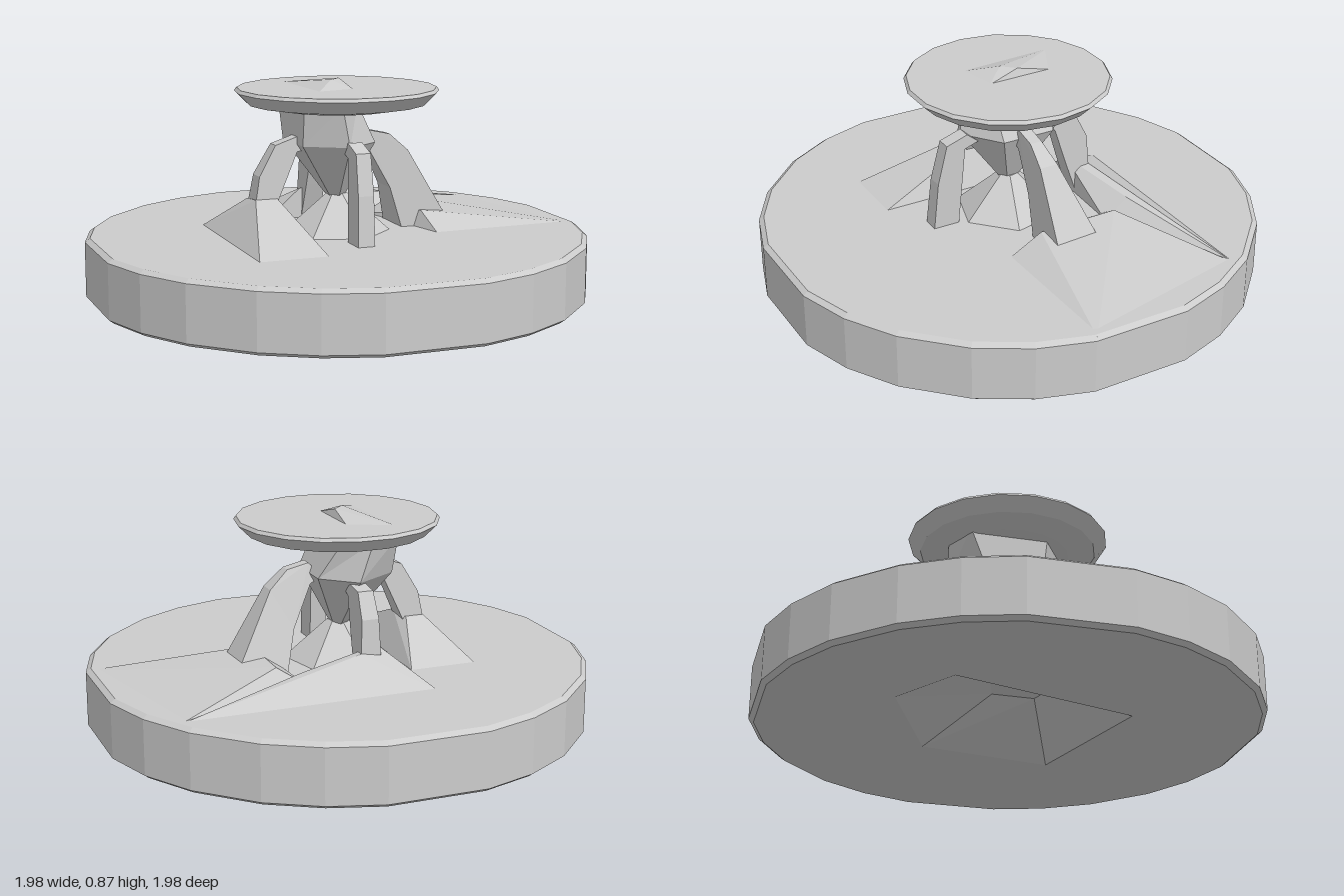
import * as THREE from 'three';
import { ConvexGeometry } from 'three/addons/geometries/ConvexGeometry.js';

const mat = new THREE.MeshStandardMaterial({ color: 0xcccccc, flatShading: true, side: THREE.DoubleSide });

function add(group, name, geometry) {
  const mesh = new THREE.Mesh(geometry, mat);
  mesh.name = name;
  group.add(mesh);
  return mesh;
}

// Turn a plan outline of [x, z] pairs into a ring at height y
const ring = (plan, y, s = 1) => plan.map(([x, z]) => [x * s, y, z * s]);

const circle = (n, r, cx = 0, cz = 0, start = 0) => Array.from({ length: n }, (_, i) => {
  const a = start + (i / n) * Math.PI * 2;
  return [cx + r * Math.cos(a), cz + r * Math.sin(a)];
});

// Skin a stack of rings, capping the first and last where wanted
function loft(rings, capFirst = true, capLast = true) {
  const pos = [];
  const n = rings[0].length;
  const tri = (...p) => p.forEach((q) => pos.push(...q));
  for (let k = 0; k < rings.length - 1; k++) {
    for (let i = 0; i < n; i++) {
      const j = (i + 1) % n;
      const [a, b, c, d] = [rings[k][i], rings[k][j], rings[k + 1][i], rings[k + 1][j]];
      tri(b, a, c);
      tri(b, c, d);
    }
  }
  const first = rings[0], last = rings[rings.length - 1];
  for (let i = 1; i < n - 1; i++) {
    if (capFirst) tri(first[0], first[i], first[i + 1]);
    if (capLast) tri(last[0], last[i + 1], last[i]);
  }
  const g = new THREE.BufferGeometry();
  g.setAttribute('position', new THREE.Float32BufferAttribute(pos, 3));
  g.computeVertexNormals();
  return g;
}

const hull = (pts) => new ConvexGeometry(pts.map((p) => new THREE.Vector3(...p)));

// Bracket cut from a side profile, widening and leaning towards its foot
function bracket(profile, topWidth, footWidth, lean, angle) {
  const shape = new THREE.Shape(profile.map((p) => new THREE.Vector2(...p)));
  const g = new THREE.ExtrudeGeometry(shape, { depth: 1, bevelEnabled: false });
  const p = g.attributes.position;
  for (let i = 0; i < p.count; i++) {
    const t = THREE.MathUtils.clamp((0.64 - p.getY(i)) / 0.39, 0, 1);
    p.setZ(i, (p.getZ(i) - 0.5) * THREE.MathUtils.lerp(topWidth, footWidth, t) + lean * t);
  }
  g.rotateY(angle);
  g.computeVertexNormals();
  return g;
}

export function createModel() {
  const model = new THREE.Group();
  model.name = 'pedestalStand';

  // Round base with a wide flat on each of its four sides
  const disc = [];
  for (let q = 0; q < 4; q++) {
    for (const deg of [11.3, 24, 37, 53, 66, 78.7]) {
      const a = THREE.MathUtils.degToRad(deg + q * 90);
      disc.push([Math.cos(a) * 1.01, Math.sin(a) * 1.01]);
    }
  }
  add(model, 'base', loft([
    ring(disc, 0.005, 0.98), ring(disc, 0.02), ring(disc, 0.24), ring(disc, 0.255, 0.98),
  ], false, true));

  // Underside with its irregular hollow
  const opening = [[0.36, 0.26], [-0.25, 0.43], [-0.46, -0.32], [-0.2, -0.49], [0.28, -0.28]];
  const v2 = (list, s = 1) => list.map(([x, z]) => new THREE.Vector2(x * s, z * s));
  const under = new THREE.Shape(v2(disc, 0.98));
  under.holes.push(new THREE.Path(v2(opening)));
  add(model, 'underside', new THREE.ShapeGeometry(under).rotateX(Math.PI / 2).translate(0, 0.005, 0));
  add(model, 'hollow', loft([
    ring(circle(5, 0.15, -0.06, 0.04, 0.62), 0.17), ring(opening, 0.005),
  ], true, false));

  // Central mound and the sloping footings around it
  add(model, 'mound', loft([
    ring(circle(6, 0.22, 0, 0, 0.3), 0.25), ring(circle(6, 0.04, 0, 0, 0.3), 0.41),
  ]));
  add(model, 'rightFooting', hull([
    [-0.48, 0.25, 0.46], [-0.2, 0.25, 0.46], [-0.2, 0.25, -0.3], [-0.48, 0.25, -0.3],
    [-0.36, 0.41, 0.05], [-0.27, 0.41, 0.05], [-0.28, 0.4, -0.06], [-0.36, 0.4, -0.06],
  ]));
  add(model, 'leftFooting', hull([
    [0.82, 0.25, -0.54], [0.98, 0.25, 0.19], [0.36, 0.25, 0.2], [0.24, 0.25, -0.3],
    [0.35, 0.32, 0.05], [0.36, 0.33, -0.28],
  ]));
  add(model, 'backFooting', hull([
    [-0.2, 0.25, -0.54], [0.82, 0.25, -0.54], [0.3, 0.25, -0.28], [-0.2, 0.25, -0.3],
    [-0.05, 0.38, -0.3], [0.04, 0.37, -0.36], [0.3, 0.33, -0.38],
  ]));

  // Arched brackets
  add(model, 'leftBracket', bracket([
    [0.08, 0.6], [0.13, 0.66], [0.22, 0.64], [0.3, 0.57], [0.46, 0.3],
    [0.46, 0.25], [0.27, 0.25], [0.22, 0.42], [0.13, 0.58],
  ], 0.05, 0.2, -0.06, 0));
  add(model, 'frontBracket', bracket([
    [0.15, 0.6], [0.2, 0.64], [0.29, 0.61], [0.33, 0.45], [0.35, 0.25], [0.24, 0.25], [0.21, 0.58],
  ], 0.06, 0.07, 0.01, -Math.PI / 2));
  add(model, 'rightBracket', bracket([
    [0.12, 0.6], [0.18, 0.65], [0.27, 0.62], [0.34, 0.5], [0.36, 0.39], [0.27, 0.39], [0.18, 0.59],
  ], 0.06, 0.12, 0, Math.PI));
  add(model, 'backBracket', bracket([
    [0.16, 0.58], [0.22, 0.61], [0.3, 0.6], [0.35, 0.5], [0.36, 0.36], [0.3, 0.25], [0.25, 0.4], [0.2, 0.56],
  ], 0.06, 0.09, 0, Math.PI / 2));

  // Faceted hub narrowing to a point above the mound
  const hubTop = [[0.05, 0.1], [-0.05, 0.2], [-0.18, 0.12], [-0.18, -0.2], [-0.05, -0.26], [0.05, -0.2]];
  const hubMid = [[0.13, 0.09], [-0.02, 0.2], [-0.18, 0.1], [-0.18, -0.14], [0, -0.25], [0.13, -0.13]];
  add(model, 'hub', loft([ring(hubMid, 0.4, 0.2), ring(hubMid, 0.62), ring(hubTop, 0.78)]));

  // Shallow dish
  const rim = circle(18, 1);
  add(model, 'dish', loft([
    ring(rim, 0.755, 0.25), ring(rim, 0.775, 0.36), ring(rim, 0.825, 0.41), ring(rim, 0.838, 0.4),
  ]));

  // Low ridge on the dish
  add(model, 'ridge', hull([
    [0.03, 0.835, -0.18], [0.035, 0.835, 0.1], [-0.13, 0.835, 0.14], [-0.15, 0.835, -0.27],
    [0.02, 0.87, -0.03], [-0.03, 0.87, 0.02],
  ]));
  return model;
}
